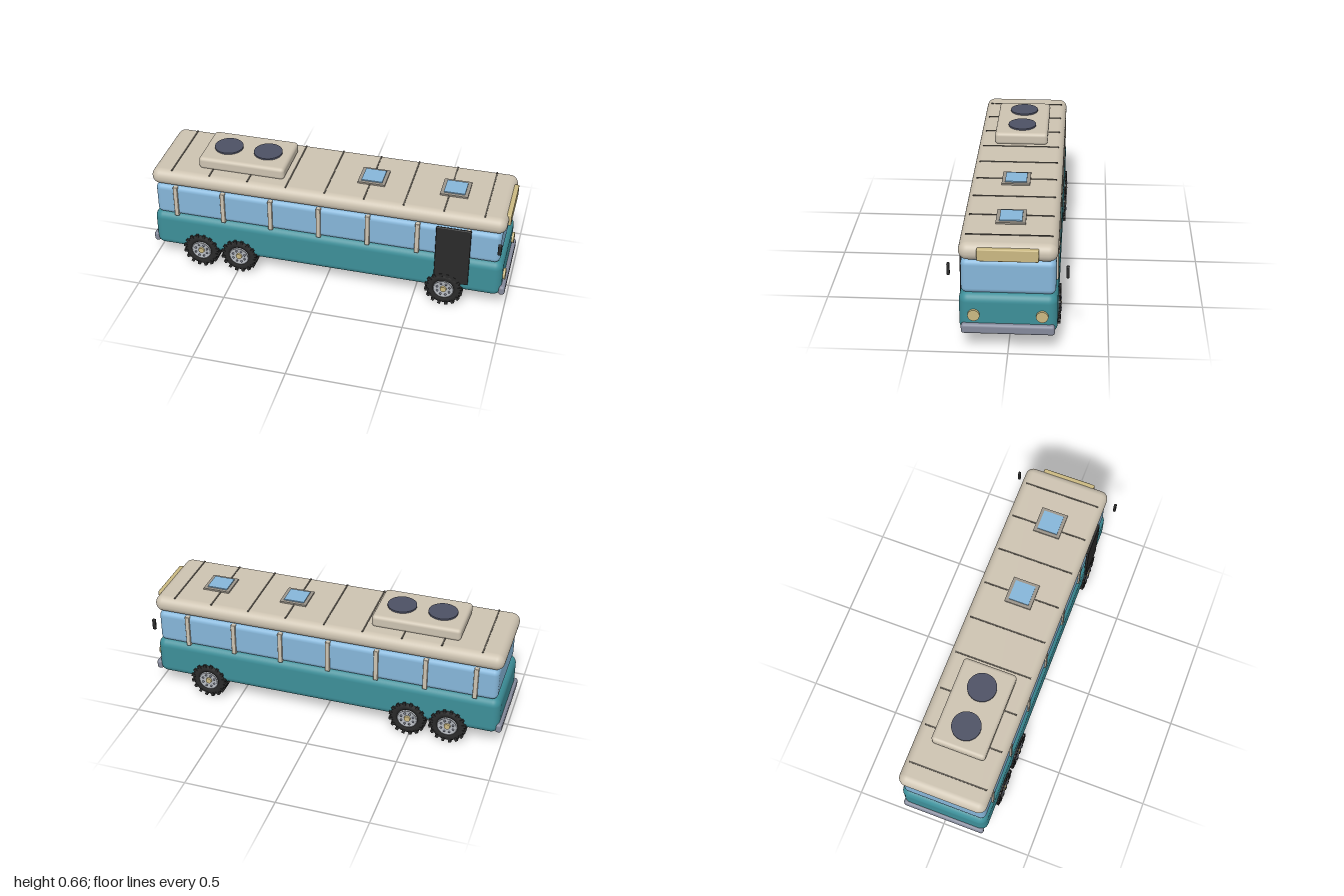
import * as THREE from 'three';
import { RoundedBoxGeometry } from 'three/addons/geometries/RoundedBoxGeometry.js';

function material(name, color) {
  const m = new THREE.MeshStandardMaterial({ color });
  m.name = name;
  return m;
}

export function createModel() {
  const teal = material('teal paint', 0x3d8f99);
  const glass = material('blue glass', 0x86b6d9);
  const cream = material('cream paint', 0xcdc3b1);
  const amber = material('amber lamp', 0xcbb982);
  const steel = material('bumper grey', 0x858a9b);
  const slate = material('fan slate', 0x4d5164);
  const black = material('black rubber', 0x2a2a2a);
  const seam = material('seam grey', 0x5c574f);
  const trim = material('hatch trim', 0x9c958a);
  const silver = material('wheel silver', 0xb4b8be);

  const bus = new THREE.Group();
  bus.name = 'bus';

  function add(name, geometry, mat, x, y, z, parent = bus) {
    const mesh = new THREE.Mesh(geometry, mat);
    mesh.name = name;
    mesh.position.set(x, y, z);
    parent.add(mesh);
    return mesh;
  }
  // Box given by its extents, with optional rounded edges
  function block(name, mat, [x0, x1], [y0, y1], [z0, z1], radius = 0) {
    const size = [x1 - x0, y1 - y0, z1 - z0];
    const geometry = radius
      ? new RoundedBoxGeometry(...size, 5, radius)
      : new THREE.BoxGeometry(...size);
    return add(name, geometry, mat, (x0 + x1) / 2, (y0 + y1) / 2, (z0 + z1) / 2);
  }

  // Body shells
  block('lowerBody', teal, [-0.983, 0.977], [0.097, 0.318], [-0.244, 0.244], 0.045);
  block('windowBand', glass, [-0.963, 0.957], [0.312, 0.499], [-0.234, 0.234], 0.03);
  block('roof', cream, [-0.983, 0.977], [0.498, 0.591], [-0.243, 0.243], 0.045);

  // Window pillars on both sides
  for (const side of [-1, 1]) {
    for (let i = 0; i < 7; i++) {
      const x = -0.845 + i * 0.2713;
      const pillar = block('windowPillar', cream, [x - 0.0125, x + 0.0125],
        [0.312, 0.499], [0.217, 0.243], 0.004);
      pillar.position.z *= side;
    }
  }

  // Roof seams
  for (let i = -4; i <= 4; i++) {
    const x = i * 0.2155 - 0.003;
    block('roofSeam', seam, [x - 0.004, x + 0.004], [0.589, 0.594], [-0.215, 0.215]);
  }

  // Roof cooling unit with two fans
  block('coolingUnit', cream, [-0.732, -0.247], [0.585, 0.655], [-0.149, 0.149], 0.02);
  for (const x of [-0.602, -0.377]) {
    add('coolingFan', new THREE.CylinderGeometry(0.079, 0.079, 0.01, 32), slate, x, 0.659, 0);
  }

  // Roof hatches
  for (const x of [0.22, 0.67]) {
    block('hatchFrame', trim, [x - 0.075, x + 0.075], [0.588, 0.6], [-0.075, 0.075]);
    block('hatchGlass', glass, [x - 0.057, x + 0.057], [0.598, 0.606], [-0.057, 0.057]);
  }

  // Entrance door
  block('door', black, [0.613, 0.8], [0.153, 0.508], [0.238, 0.252], 0.005);

  // Bumpers, destination panel, headlights and mirrors
  block('frontBumper', steel, [0.962, 0.998], [0.107, 0.161], [-0.233, 0.233], 0.015);
  block('rearBumper', steel, [-1, -0.964], [0.107, 0.161], [-0.233, 0.233], 0.015);
  block('signPanel', amber, [0.962, 0.99], [0.512, 0.577], [-0.15, 0.15], 0.006);
  for (const side of [-1, 1]) {
    const lamp = add('headlight', new THREE.CylinderGeometry(0.03, 0.03, 0.025, 28),
      amber, 0.978, 0.209, side * 0.169);
    lamp.rotation.z = Math.PI / 2;
    const mirror = block('mirror', black, [0.948, 0.968], [0.419, 0.484], [0.283, 0.298], 0.005);
    mirror.position.z *= side;
  }

  // Wheels: tyre, tread, rim, cap and bolts, with the outer face towards +z
  const tyreProfile = [
    [0.054, -0.03], [0.07, -0.036], [0.086, -0.035], [0.096, -0.026], [0.098, 0],
    [0.096, 0.026], [0.086, 0.035], [0.07, 0.036], [0.054, 0.03], [0.054, -0.03],
  ].map(([r, y]) => new THREE.Vector2(r, y));
  const rimProfile = [
    [0, -0.026], [0.056, -0.026], [0.056, 0.035], [0.05, 0.037], [0.046, 0.03], [0, 0.03],
  ].map(([r, y]) => new THREE.Vector2(r, y));
  const tyreGeometry = new THREE.LatheGeometry(tyreProfile, 36).rotateX(Math.PI / 2);
  const rimGeometry = new THREE.LatheGeometry(rimProfile, 32).rotateX(Math.PI / 2);
  const capGeometry = new THREE.CylinderGeometry(0.016, 0.018, 0.012, 20).rotateX(Math.PI / 2);
  const boltGeometry = new THREE.SphereGeometry(0.006, 10, 8);
  const lugGeometry = new THREE.BoxGeometry(0.016, 0.022, 0.038);

  function makeWheel(x, side) {
    const wheel = new THREE.Group();
    wheel.name = 'wheel';
    add('tyre', tyreGeometry, black, 0, 0, 0, wheel);
    add('rim', rimGeometry, silver, 0, 0, 0, wheel);
    add('hubCap', capGeometry, amber, 0, 0, 0.034, wheel);
    // Two staggered rows of tread blocks
    for (let i = 0; i < 32; i++) {
      const a = (i / 32) * Math.PI * 2;
      const lug = add('treadBlock', lugGeometry, black, Math.sin(a) * 0.093,
        Math.cos(a) * 0.093, i % 2 ? 0.018 : -0.018, wheel);
      lug.rotation.z = -a;
    }
    for (let i = 0; i < 8; i++) {
      const a = ((i + 0.5) / 8) * Math.PI * 2;
      add('wheelBolt', boltGeometry, steel, Math.sin(a) * 0.036, Math.cos(a) * 0.036, 0.036, wheel);
    }
    wheel.position.set(x, 0.104, side * 0.218);
    if (side < 0) wheel.rotation.y = Math.PI;
    bus.add(wheel);
  }
  for (const x of [-0.711, -0.489, 0.671]) {
    makeWheel(x, 1);
    makeWheel(x, -1);
  }

  return bus;
}
